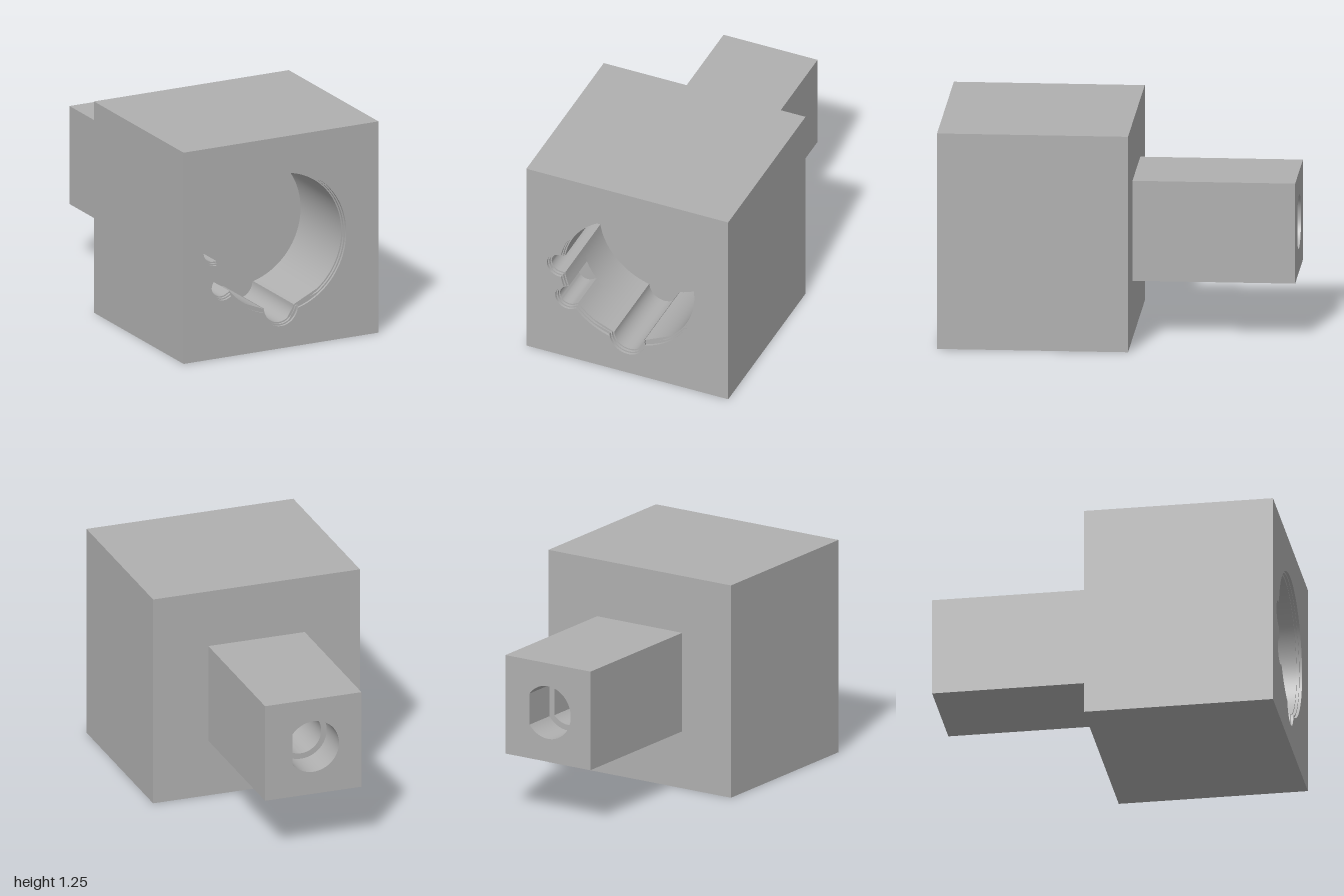
import * as THREE from 'three';
import { mergeGeometries, toCreasedNormals } from 'three/addons/utils/BufferGeometryUtils.js';

const V = (x, y) => new THREE.Vector2(x, y);
const polar = (r, a) => V(r * Math.cos(a), r * Math.sin(a));

// Points along an arc, counter-clockwise when a1 > a0
function arc(cx, cy, r, a0, a1, n) {
  return Array.from({ length: n + 1 }, (_, i) => {
    const p = polar(r, a0 + ((a1 - a0) * i) / n);
    return V(cx + p.x, cy + p.y);
  });
}

const rect = (h, k = h) => [V(-h, -k), V(h, -k), V(h, k), V(-h, k)];

// Rounded key slots around the socket: direction, centre distance, half width
const R = 0.4;
const sideSlot = { a: Math.PI, c: 0.42, w: 0.059 };
const shortSlot = { a: Math.PI * 1.166, c: 0.425, w: 0.059 };
const bottomSlot = { a: Math.PI * 1.5, c: 0.385, w: 0.093 };

const mouth = (s, grow) => Math.asin((s.w + grow) / (R + grow));

function slotArc(s, grow) {
  const c = polar(s.c, s.a);
  return arc(c.x, c.y, s.w + grow, s.a - Math.PI / 2, s.a + Math.PI / 2, 20);
}

// Circle with slots cut outwards, enlarged by grow
function keyedOutline(slots, grow) {
  const pts = [];
  slots.forEach((s, i) => {
    const next = slots[(i + 1) % slots.length];
    const from = s.a + mouth(s, grow);
    let to = next.a - mouth(next, grow);
    if (to < from) to += Math.PI * 2;
    pts.push(...slotArc(s, grow), ...arc(0, 0, R + grow, from, to, Math.ceil((to - from) * 16)));
  });
  return pts;
}

// Circle with a flat on the +x side
function dOutline(r, flat) {
  const a = Math.acos(flat / r);
  return arc(0, 0, r, a, Math.PI * 2 - a, 48);
}

// Band between two depths; a counter-clockwise outline faces inwards
function wall(pts, zFront, zBack) {
  const pos = [];
  pts.forEach((a, i) => {
    const b = pts[(i + 1) % pts.length];
    pos.push(a.x, a.y, zFront, b.x, b.y, zFront, b.x, b.y, zBack);
    pos.push(a.x, a.y, zFront, b.x, b.y, zBack, a.x, a.y, zBack);
  });
  const g = new THREE.BufferGeometry();
  g.setAttribute('position', new THREE.Float32BufferAttribute(pos, 3));
  return g;
}

const outerWall = (pts, zFront, zBack) => wall([...pts].reverse(), zFront, zBack);

// Flat face at depth z, with an optional hole, facing front or back
function cap(pts, hole, z, facesBack = false) {
  const shape = new THREE.Shape(pts);
  if (hole) shape.holes.push(new THREE.Path(hole));
  const g = new THREE.ShapeGeometry(shape);
  if (facesBack) g.setIndex([...g.index.array].reverse());
  const flat = g.toNonIndexed().translate(0, 0, z);
  flat.deleteAttribute('uv');
  flat.deleteAttribute('normal');
  return flat;
}

export function createModel() {
  const group = new THREE.Group();
  const grey = new THREE.MeshStandardMaterial({ color: 0xb0b0b0 });
  grey.name = 'grey';

  function add(name, parts) {
    const mesh = new THREE.Mesh(toCreasedNormals(mergeGeometries(parts), 0.4), grey);
    mesh.name = name;
    mesh.position.y = 0.625;
    group.add(mesh);
  }

  const allSlots = [sideSlot, shortSlot, bottomSlot];
  const rim = [0.016, 0.008, 0].map((grow) => keyedOutline(allSlots, grow));
  const deep = keyedOutline([sideSlot, bottomSlot], 0);
  const body = rect(0.622, 0.625);
  const stub = rect(0.29);
  const front = 1, bodyBack = -0.08, back = -1;
  const shortEnd = 0.72, floor = 0.48;

  // Main block
  add('body', [cap(body, rim[0], front), outerWall(body, front, bodyBack), cap(body, stub, bodyBack, true)]);

  // Fine double step around the socket mouth
  add('socketRim', [
    wall(rim[0], front, 0.985), cap(rim[0], rim[1], 0.985),
    wall(rim[1], 0.985, 0.97), cap(rim[1], rim[2], 0.97),
  ]);

  // Keyed socket, with one slot ending early
  const m = mouth(shortSlot, 0);
  const slotFloor = [...slotArc(shortSlot, 0), ...arc(0, 0, R, shortSlot.a + m, shortSlot.a - m, 6)];
  add('socket', [
    wall(rim[2], 0.97, shortEnd), cap(slotFloor, null, shortEnd),
    wall(deep, shortEnd, floor), cap(deep, null, floor),
  ]);

  // Rear stub with a stepped D-shaped bore
  const bore = dOutline(0.155, 0.125);
  const innerBore = dOutline(0.122, 0.092);
  add('rearStub', [outerWall(stub, bodyBack, back), cap(stub, bore, back, true)]);
  add('rearBore', [
    wall(bore, -0.8, back), cap(bore, innerBore, -0.8, true),
    wall(innerBore, -0.5, -0.8), cap(innerBore, null, -0.5, true),
  ]);

  return group;
}
